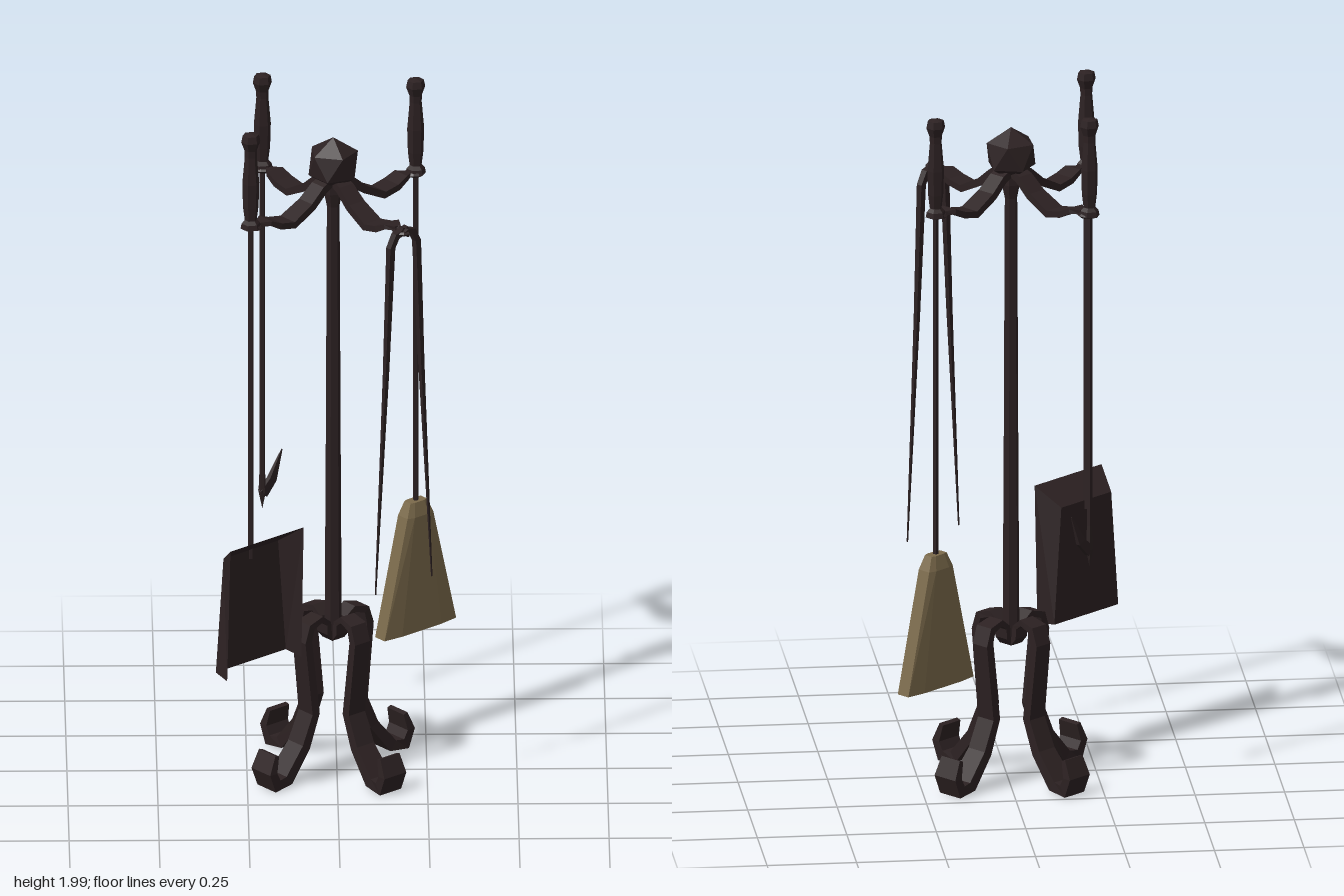
import * as THREE from 'three';

const iron = new THREE.MeshStandardMaterial({ color: 0x2c2122, flatShading: true, side: THREE.DoubleSide });
iron.name = 'dark iron';
const straw = new THREE.MeshStandardMaterial({ color: 0x7b6a4b, flatShading: true });
straw.name = 'straw';

function mesh(name, geometry, material, parent) {
  const m = new THREE.Mesh(geometry, material);
  m.name = name;
  parent.add(m);
  return m;
}

// Skin a list of rings (equal point counts) and cap both ends
function loft(rings) {
  const pos = [];
  const tri = (a, b, c) => pos.push(...a, ...b, ...c);
  const n = rings[0].length;
  for (let i = 0; i < rings.length - 1; i++) {
    for (let j = 0; j < n; j++) {
      const k = (j + 1) % n;
      tri(rings[i][j], rings[i][k], rings[i + 1][k]);
      tri(rings[i][j], rings[i + 1][k], rings[i + 1][j]);
    }
  }
  const first = rings[0], last = rings[rings.length - 1];
  for (let j = 1; j < n - 1; j++) {
    tri(first[0], first[j + 1], first[j]);
    tri(last[0], last[j], last[j + 1]);
  }
  const g = new THREE.BufferGeometry();
  g.setAttribute('position', new THREE.Float32BufferAttribute(pos, 3));
  g.computeVertexNormals();
  return g;
}

// Flat forged bar bent in the xy plane; each point is [x, y, width, thickness]
function bar(points) {
  return loft(points.map(([x, y, w, t], i) => {
    const p = points[Math.max(i - 1, 0)], q = points[Math.min(i + 1, points.length - 1)];
    const len = Math.hypot(q[0] - p[0], q[1] - p[1]);
    const nx = -(q[1] - p[1]) / len * t / 2, ny = (q[0] - p[0]) / len * t / 2;
    return [[1, 1], [-1, 1], [-1, -1], [1, -1]].map(([a, b]) => [x + a * nx, y + a * ny, b * w / 2]);
  }));
}

const lathe = (pts, sides) =>
  new THREE.LatheGeometry(pts.map(([r, y]) => new THREE.Vector2(r, y)), sides);

// Handle and rod shared by the hanging tools
function tool(name, x, z, rodEnd, parent) {
  const g = new THREE.Group();
  g.name = name;
  g.position.set(x, 0, z);
  parent.add(g);
  mesh('handle', lathe([[0, 1.705], [0.029, 1.715], [0.026, 1.73], [0.017, 1.74], [0.022, 1.78], [0.024, 1.85],
    [0.017, 1.93], [0.018, 1.95], [0.027, 1.975], [0.023, 1.995], [0, 2]], 6), iron, g);
  const rod = mesh('rod', new THREE.CylinderGeometry(0.008, 0.008, 1.72 - rodEnd, 5), iron, g);
  rod.position.y = (1.72 + rodEnd) / 2;
  return g;
}

export function createModel() {
  const model = new THREE.Group();
  model.name = 'fireplaceToolSet';
  const set = new THREE.Group();
  set.name = 'standAndTools';
  set.position.set(-0.01, 0, -0.025);
  set.rotation.y = THREE.MathUtils.degToRad(40);
  model.add(set);

  // Central post with faceted finial
  mesh('post', lathe([[0, 0.395], [0.024, 0.4], [0.024, 0.47], [0.021, 1], [0.018, 1.7], [0.026, 1.74], [0.026, 1.78]], 6), iron, set);
  const ico = new THREE.IcosahedronGeometry(0.077, 0);
  ico.rotateZ(Math.atan(2 / (1 + Math.sqrt(5)))); // one corner straight up
  mesh('finial', ico, iron, set).position.y = 1.828;

  // Four curled legs and four hanging arms
  const legShape = bar([[0.015, 0.405, 0.045, 0.016], [0.032, 0.425, 0.045, 0.016], [0.034, 0.455, 0.045, 0.016],
    [0.06, 0.475, 0.05, 0.018], [0.1, 0.463, 0.055, 0.022], [0.113, 0.42, 0.055, 0.024], [0.088, 0.2, 0.06, 0.026],
    [0.125, 0.11, 0.062, 0.03], [0.19, 0.03, 0.07, 0.034], [0.235, 0.025, 0.078, 0.036],
    [0.252, 0.065, 0.08, 0.026], [0.235, 0.115, 0.07, 0.014]]);
  const armShape = bar([[0.01, 1.785, 0.045, 0.022], [0.05, 1.768, 0.05, 0.022], [0.095, 1.73, 0.055, 0.022],
    [0.165, 1.695, 0.062, 0.02], [0.215, 1.705, 0.062, 0.018], [0.25, 1.722, 0.055, 0.014], [0.275, 1.72, 0.02, 0.012]]);
  const hookShape = new THREE.TorusGeometry(0.024, 0.006, 4, 8, Math.PI * 1.5);
  hookShape.rotateX(Math.PI / 2);
  for (let i = 0; i < 4; i++) {
    const quarter = new THREE.Group();
    quarter.name = 'legAndArm' + (i + 1);
    quarter.rotation.y = i * Math.PI / 2;
    set.add(quarter);
    mesh('leg', legShape, iron, quarter);
    mesh('arm', armShape, iron, quarter);
    mesh('hook', hookShape, iron, quarter).position.set(0.297, 1.717, 0);
  }

  // Broom with a flared straw head
  const broom = tool('broom', 0.302, 0, 0.72, set);
  const head = [[0.345, 0.131, 0.027], [0.69, 0.047, 0.027], [0.73, 0.03, 0.017]].map(([y, w, d]) =>
    [[d, 0.55], [0.75 * d, 1], [-0.75 * d, 1], [-d, 0.55], [-d, -0.55], [-0.75 * d, -1], [0.75 * d, -1], [d, -0.55]]
      .map(([z, x]) => [x * w, y, z]));
  mesh('broomHead', loft(head), straw, broom);

  // Shovel: flat floor with flared side and top walls, open at the bottom
  const shovel = tool('shovel', -0.302, 0, 0.72, set);
  const floorTop = [[-0.1, 0.745, 0], [0.1, 0.745, 0]], floorEnd = [[-0.128, 0.41, 0], [0.128, 0.41, 0]];
  const rimTop = [[-0.138, 0.8, 0.074], [0.13, 0.8, 0.074]], rimEnd = [[-0.138, 0.405, 0.06], [0.134, 0.405, 0.06]];
  const pan = [];
  for (const [a, b, c, d] of [
    [floorEnd[0], floorEnd[1], floorTop[1], floorTop[0]],
    [floorTop[0], floorTop[1], rimTop[1], rimTop[0]],
    [rimEnd[0], floorEnd[0], floorTop[0], rimTop[0]],
    [floorEnd[1], rimEnd[1], rimTop[1], floorTop[1]],
  ]) pan.push(...a, ...b, ...c, ...a, ...c, ...d);
  const panGeometry = new THREE.BufferGeometry();
  panGeometry.setAttribute('position', new THREE.Float32BufferAttribute(pan, 3));
  panGeometry.computeVertexNormals();
  mesh('shovelPan', panGeometry, iron, shovel);

  // Poker with a pointed tip and a side barb
  const poker = tool('poker', 0, -0.302, 0.8, set);
  mesh('pokerTip', lathe([[0, 0.69], [0.011, 0.74], [0.008, 0.81]], 5), iron, poker);
  mesh('pokerBarb', bar([[0, 0.735, 0.016, 0.03], [0.035, 0.77, 0.014, 0.026], [0.072, 0.85, 0.002, 0.003]]), iron, poker);

  // Tongs: two tapering legs spreading from a hinge
  const tongs = new THREE.Group();
  tongs.name = 'tongs';
  tongs.position.z = 0.3;
  set.add(tongs);
  const tongLeg = bar([[-0.012, 1.725, 0.018, 0.016], [0.03, 1.712, 0.02, 0.018], [0.047, 1.68, 0.018, 0.018],
    [0.065, 1.3, 0.013, 0.012], [0.103, 0.65, 0.003, 0.003]]);
  for (const turn of [0, Math.PI]) mesh('tongLeg', tongLeg, iron, tongs).rotation.y = turn;
  const hinge = mesh('tongHinge', new THREE.CylinderGeometry(0.012, 0.012, 0.04, 6), iron, tongs);
  hinge.rotation.x = Math.PI / 2;
  hinge.position.y = 1.718;

  return model;
}
